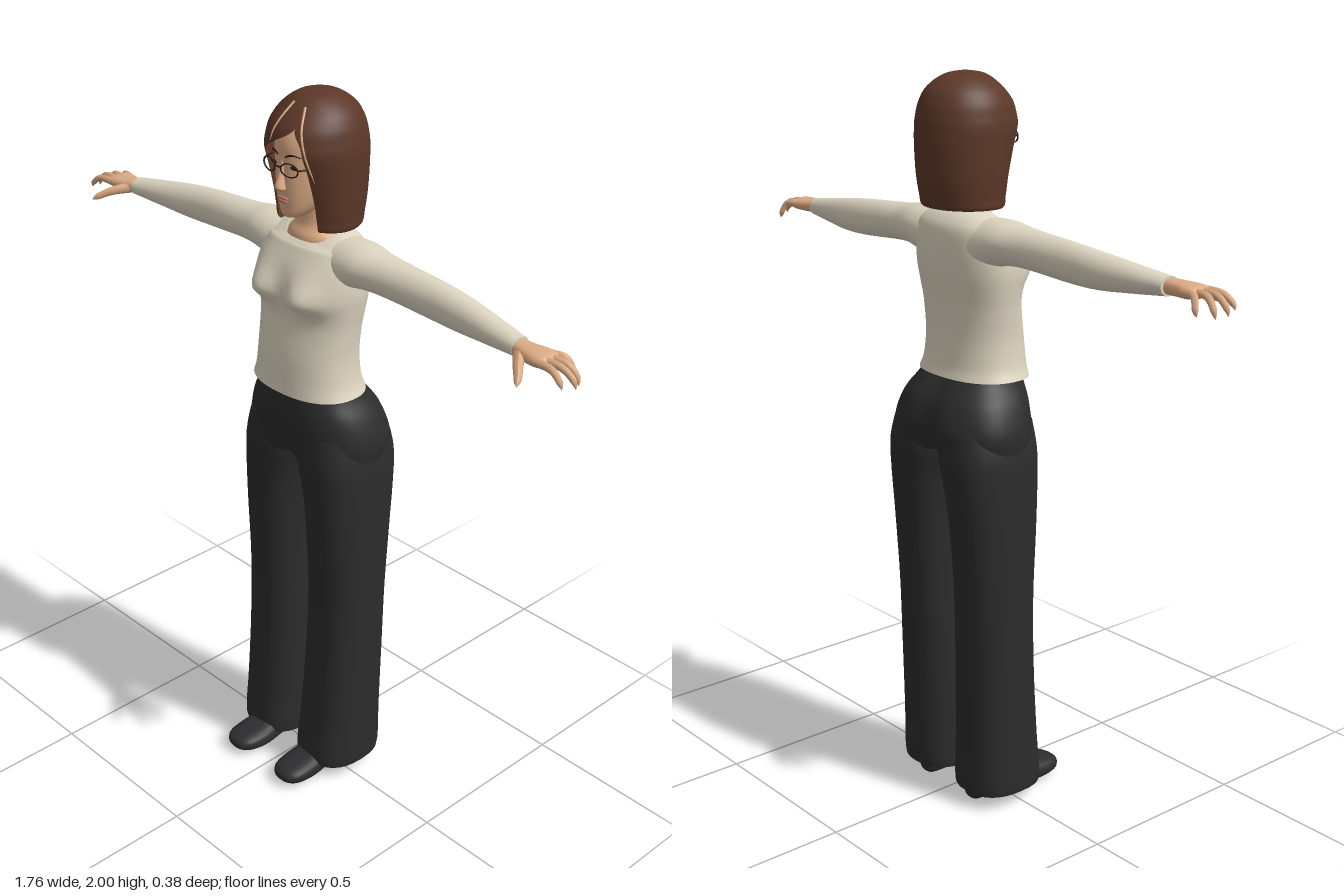
import * as THREE from 'three';
import { ParametricGeometry } from 'three/addons/geometries/ParametricGeometry.js';

const mat = (name, color, side = THREE.FrontSide) => {
  const m = new THREE.MeshStandardMaterial({ color, side });
  m.name = name;
  return m;
};

// Catmull-Rom value of a table of rows at t in 0..1
function sample(rows, t) {
  const f = t * (rows.length - 1), i = Math.min(Math.floor(f), rows.length - 2), k = f - i;
  const at = (n) => rows[Math.max(0, Math.min(rows.length - 1, n))];
  return rows[i].map((b, c) => {
    const a = at(i - 1)[c], d = at(i + 1)[c], e = at(i + 2)[c];
    return b + 0.5 * k * (d - a + k * (2 * a - 5 * b + 4 * d - e + k * (3 * (b - d) + e - a)));
  });
}

// Closed loft upwards through sections [y, xMin, xMax, zMin, zMax]; power sets squareness
function loft(sections, { power = 2, steps = 5, sides = 28, warp, top = true } = {}) {
  const pos = [], idx = [], rows = (sections.length - 1) * steps;
  const p = new THREE.Vector3();
  const ring = (t) => {
    const [y, x0, x1, z0, z1] = sample(sections, t);
    for (let j = 0; j < sides; j++) {
      const a = (j / sides) * Math.PI * 2, s = Math.sin(a), c = Math.cos(a);
      p.set((x0 + x1) / 2 + (x1 - x0) / 2 * Math.sign(s) * Math.abs(s) ** (2 / power), y,
        (z0 + z1) / 2 + (z1 - z0) / 2 * Math.sign(c) * Math.abs(c) ** (2 / power));
      if (warp) warp(p);
      pos.push(p.x, p.y, p.z);
    }
    return [(x0 + x1) / 2, y, (z0 + z1) / 2];
  };
  for (let i = 0; i <= rows; i++) ring(i / rows);
  for (let i = 0; i < rows; i++) for (let j = 0; j < sides; j++) {
    const a = i * sides + j, b = i * sides + (j + 1) % sides;
    idx.push(a, b, a + sides, b, b + sides, a + sides);
  }
  // End caps with their own corners, so the rims stay sharp
  for (const end of top ? [0, 1] : [0]) {
    const start = pos.length / 3;
    pos.push(...ring(end));
    for (let j = 0; j < sides; j++) {
      const a = start + j, b = start + (j + 1) % sides;
      idx.push(start + sides, end ? a : b, end ? b : a);
    }
  }
  const g = new THREE.BufferGeometry();
  g.setAttribute('position', new THREE.Float32BufferAttribute(pos, 3));
  g.setIndex(idx);
  g.computeVertexNormals();
  return g;
}

// Loft along x through sections [x, yMin, yMax, zMin, zMax]
const loftX = (rows, o) => loft(rows.map(([x, a, b, c, d]) => [x, -b, -a, c, d]), o).rotateZ(-Math.PI / 2);
// Loft along z through sections [z, xMin, xMax, yMin, yMax]
const loftZ = (rows, o) => loft(rows.map(([z, a, b, c, d]) => [z, a, b, -d, -c]), o).rotateX(Math.PI / 2);

// Tube whose thickness shrinks to a rounded tip
function taperedTube(points, r0, r1) {
  const curve = new THREE.CatmullRomCurve3(points.map((q) => new THREE.Vector3(...q)));
  const g = new THREE.TubeGeometry(curve, 12, r0, 8), a = g.attributes.position, v = new THREE.Vector3();
  for (let i = 0; i < a.count; i++) {
    const t = Math.floor(i / 9) / 12, c = curve.getPointAt(t);
    const r = t === 1 ? 0.0005 : (r0 + (r1 - r0) * t) * (t > 0.9 ? 0.7 : 1);
    v.fromBufferAttribute(a, i).sub(c).multiplyScalar(r / r0).add(c);
    a.setXYZ(i, v.x, v.y, v.z);
  }
  g.computeVertexNormals();
  return g;
}

function mirrored(geo) {
  const g = geo.clone().scale(-1, 1, 1), ix = g.index.array;
  for (let i = 0; i < ix.length; i += 3) [ix[i], ix[i + 1]] = [ix[i + 1], ix[i]];
  g.computeVertexNormals();
  return g;
}

const bell = (d, w) => Math.exp(-((d / w) ** 2));
const ball = (x, y, z, rx, ry, rz) => new THREE.SphereGeometry(1, 16, 10).scale(rx, ry, rz).translate(x, y, z);

export function createModel() {
  const model = new THREE.Group();
  const shirt = mat('cream shirt', 0xddd5c1, THREE.DoubleSide), pants = mat('black trousers', 0x2c2c2d);
  const shoe = mat('charcoal shoes', 0x2d2d2f), skin = mat('skin', 0xdcab84);
  const hair = mat('brown hair', 0x5c3828, THREE.DoubleSide), dark = mat('dark brown', 0x2a1812);
  const lip = mat('lips', 0xb57866);
  const add = (name, geo, material) => {
    const m = new THREE.Mesh(geo, material);
    m.name = name;
    model.add(m);
  };
  const pair = (name, geo, material) => {
    add('left ' + name, geo, material);
    add('right ' + name, mirrored(geo), material);
  };
  const sym = ([y, w, z0, z1]) => [y, -w, w, z0, z1];

  // Shirt body with bust and a neckline dipping at the front
  add('shirt', loft([
    [1.215, 0.168, -0.127, 0.103], [1.25, 0.155, -0.118, 0.1], [1.32, 0.148, -0.113, 0.094],
    [1.4, 0.153, -0.115, 0.08], [1.45, 0.16, -0.122, 0.078], [1.5, 0.166, -0.13, 0.08],
    [1.56, 0.163, -0.133, 0.07], [1.61, 0.15, -0.128, 0.045], [1.637, 0.12, -0.11, 0.034],
    [1.652, 0.083, -0.088, 0.028],
  ].map(sym), {
    power: 2.3, sides: 48, top: false,
    warp: (p) => {
      if (p.z > 0) p.z += 0.042 * bell(Math.abs(p.x) - 0.075, 0.055) * bell(p.y - 1.49, p.y < 1.49 ? 0.035 : 0.055);
      if (p.y > 1.61 && p.z > -0.03) p.y -= (p.y - 1.61) * 0.7 * Math.min(1, (p.z + 0.03) / 0.05);
    },
  }), shirt);
  pair('sleeve', loftX([
    [0.09, 1.5, 1.64, -0.118, 0.03], [0.17, 1.525, 1.642, -0.112, 0.03], [0.25, 1.53, 1.632, -0.095, 0.015],
    [0.4, 1.521, 1.622, -0.086, 0.003], [0.5, 1.519, 1.612, -0.08, 0.004], [0.6, 1.526, 1.598, -0.064, 0.01],
    [0.705, 1.535, 1.583, -0.043, 0.017],
  ]), shirt);

  // Hands
  pair('palm', loftX([
    [0.68, 1.539, 1.579, -0.034, 0.01], [0.73, 1.539, 1.577, -0.037, 0.022], [0.77, 1.54, 1.576, -0.046, 0.031],
    [0.795, 1.544, 1.572, -0.046, 0.03], [0.806, 1.552, 1.563, -0.035, 0.02],
  ], { sides: 16, power: 2.4 }), skin);
  for (const [name, z0, x1, z1, y1] of [
    ['little finger', -0.036, 0.832, -0.057, 1.515], ['ring finger', -0.017, 0.866, -0.032, 1.512],
    ['middle finger', 0.003, 0.88, -0.004, 1.517], ['index finger', 0.021, 0.868, 0.031, 1.524],
  ]) {
    const xm = 0.785 + (x1 - 0.785) * 0.6;
    pair(name, taperedTube([[0.775, 1.559, z0], [xm, 1.557, (z0 + z1) / 2], [x1 - 0.006, (y1 + 1.55) / 2, z1], [x1, y1, z1]], 0.0115, 0.007), skin);
  }
  pair('thumb', taperedTube([[0.72, 1.555, 0.005], [0.75, 1.547, 0.045], [0.772, 1.535, 0.07], [0.788, 1.522, 0.092]], 0.016, 0.008), skin);

  // Trousers
  add('trouser seat', loft([
    [1.015, 0.205, -0.18, 0.082], [1.08, 0.21, -0.192, 0.09], [1.15, 0.188, -0.172, 0.092],
    [1.2, 0.155, -0.138, 0.09], [1.24, 0.138, -0.108, 0.084],
  ].map(sym), {
    power: 2.4, sides: 48,
    warp: (p) => {
      const low = bell(Math.max(0, 1.13 - p.y) - 0.12, 0.08);
      p.z += (p.z < -0.06 ? 0.015 + 0.03 * low : p.z > 0 ? -0.03 * low : 0) * bell(p.x, 0.035);
    },
  }), pants);
  pair('trouser leg', loft([
    [0.045, 0.012, 0.214, -0.135, 0.094], [0.08, 0.01, 0.217, -0.138, 0.094], [0.2, 0.016, 0.215, -0.138, 0.082],
    [0.4, 0.023, 0.214, -0.142, 0.068], [0.6, 0.028, 0.213, -0.148, 0.064], [0.8, 0.026, 0.214, -0.163, 0.073],
    [0.93, 0.014, 0.213, -0.177, 0.08], [1.02, -0.004, 0.209, -0.184, 0.084], [1.1, 0.01, 0.19, -0.17, 0.075],
  ], { power: 2.5, sides: 32 }), pants);

  // Shoes
  pair('shoe', loftZ([
    [-0.112, 0.085, 0.115, 0.015, 0.045], [-0.1, 0.066, 0.134, 0.007, 0.07], [-0.03, 0.062, 0.138, 0.004, 0.085],
    [0.04, 0.052, 0.148, 0.002, 0.08], [0.11, 0.045, 0.155, 0.002, 0.066], [0.165, 0.052, 0.15, 0.009, 0.058],
    [0.19, 0.07, 0.132, 0.018, 0.048], [0.197, 0.09, 0.112, 0.027, 0.038],
  ], { power: 2.5, sides: 24 }), shoe);

  // Neck and head
  add('neck', loft([
    [1.6, 0.085, -0.09, 0.03], [1.632, 0.077, -0.084, 0.026], [1.66, 0.056, -0.076, 0.012],
    [1.7, 0.048, -0.07, 0.01], [1.75, 0.048, -0.07, 0.015],
  ].map(sym)), skin);
  add('head', loft([
    [1.69, 0.012, 0.035, 0.062], [1.698, 0.03, -0.01, 0.072], [1.725, 0.05, -0.06, 0.077], [1.77, 0.066, -0.11, 0.081],
    [1.83, 0.075, -0.135, 0.081], [1.89, 0.076, -0.14, 0.08], [1.94, 0.062, -0.12, 0.055], [1.97, 0.03, -0.07, 0.01],
  ].map(sym), { power: 2.2, sides: 36 }), skin);
  add('nose', loft([
    [1.765, 0.008, 0.07, 0.088], [1.772, 0.014, 0.07, 0.1], [1.781, 0.012, 0.07, 0.103],
    [1.81, 0.007, 0.07, 0.091], [1.845, 0.004, 0.068, 0.082],
  ].map(sym), { sides: 14 }), skin);
  add('upper lip', ball(0, 1.746, 0.079, 0.021, 0.0045, 0.006), lip);
  add('lower lip', ball(0, 1.738, 0.079, 0.017, 0.005, 0.006), lip);
  pair('eye', ball(0.034, 1.829, 0.073, 0.013, 0.005, 0.005), dark);
  pair('eyebrow', taperedTube([[0.012, 1.855, 0.08], [0.034, 1.862, 0.077], [0.054, 1.856, 0.064]], 0.0028, 0.0015), dark);

  // Glasses
  pair('glasses rim', new THREE.TorusGeometry(0.026, 0.0022, 6, 28).scale(1, 0.66, 1).rotateY(0.2).translate(0.036, 1.828, 0.09), dark);
  pair('glasses arm', taperedTube([[0.061, 1.833, 0.085], [0.075, 1.833, 0.06], [0.08, 1.835, -0.03]], 0.0025, 0.0025), dark);
  add('glasses bridge', new THREE.CylinderGeometry(0.002, 0.002, 0.022, 6).rotateZ(Math.PI / 2).translate(0, 1.832, 0.096), dark);

  // Hair shell rows: y, half width, front depth, back depth, opening angles in degrees
  const rows = [
    [2.0, 0.001, 0.001, 0.001, 20, 20], [1.99, 0.05, 0.055, 0.055, 20, 20], [1.96, 0.092, 0.095, 0.1, 20, 20],
    [1.925, 0.114, 0.125, 0.12, 19, 21], [1.89, 0.123, 0.137, 0.129, -8, 30], [1.86, 0.127, 0.139, 0.132, -25, 33],
    [1.81, 0.126, 0.122, 0.133, -31, 35], [1.74, 0.124, 0.1, 0.128, -32, 36], [1.69, 0.121, 0.09, 0.118, -33, 37],
    [1.66, 0.117, 0.083, 0.108, -35, 39], [1.664, 0.085, 0.05, 0.08, -50, 50],
  ];
  const onHair = (t, angle, out, grow = 1) => {
    const [y, w, f, b] = sample(rows, t), c = Math.cos(angle);
    return out.set(w * grow * Math.sin(angle), y, -0.04 + c * grow * (c > 0 ? f : b));
  };
  add('hair', new ParametricGeometry((u, v, out) => {
    const [, , , , a, b] = sample(rows, v), rad = Math.PI / 180;
    onHair(v, (b + (360 + a - b) * u) * rad, out);
  }, 56, 50), hair);

  // Pale partings between the fringe strands
  for (const [name, a0, a1, t0, t1] of [['fringe parting', -5, -14, 0.14, 0.4], ['side parting', 25, 41, 0.16, 0.62]]) {
    const pts = [0, 0.33, 0.67, 1].map((k) =>
      onHair(t0 + (t1 - t0) * k, (a0 + (a1 - a0) * k) * Math.PI / 180, new THREE.Vector3(), 1.005).toArray());
    add(name, taperedTube(pts, 0.0035, 0.002), skin);
  }
  return model;
}
